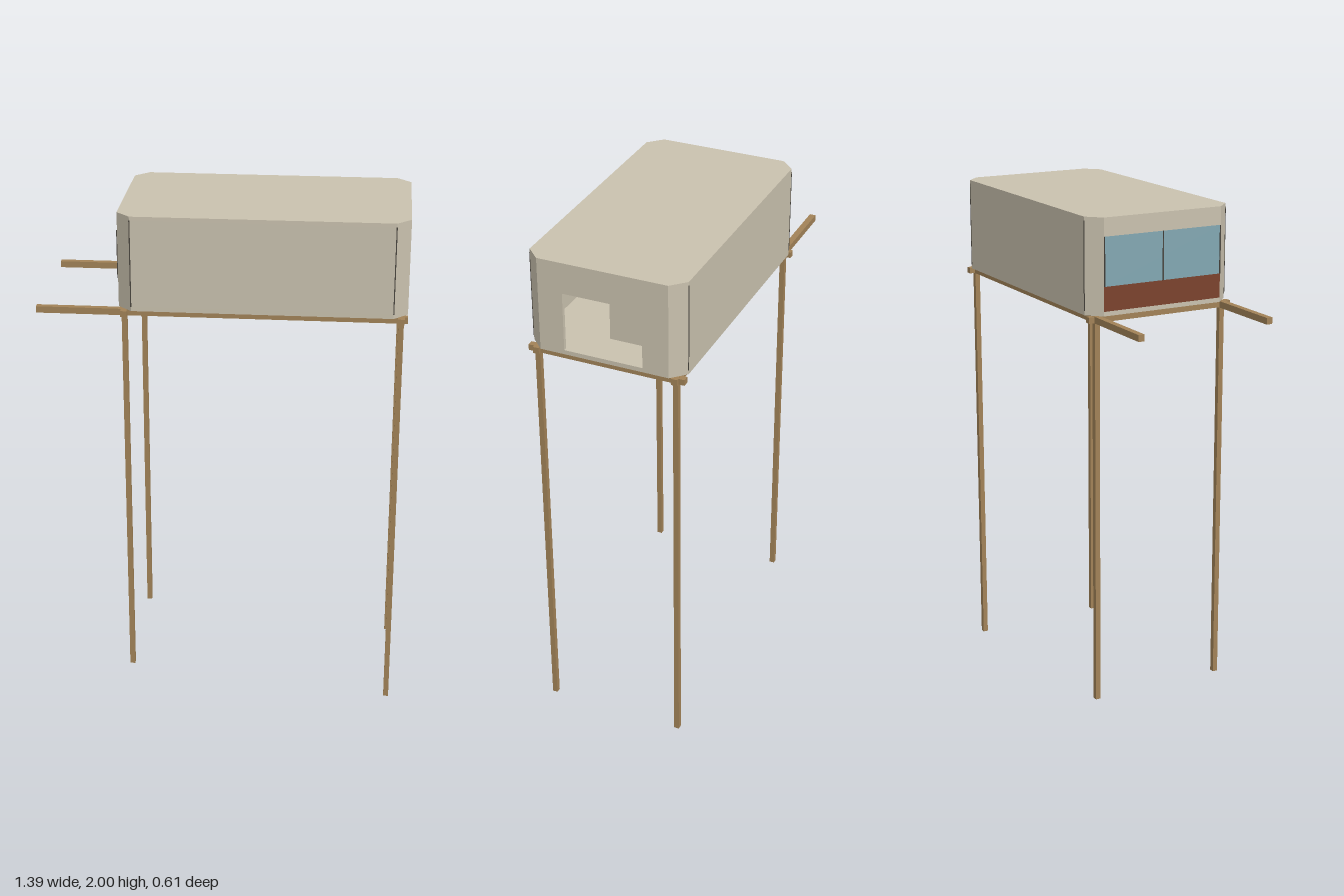
import * as THREE from 'three';

const mat = (name, color) => {
  const m = new THREE.MeshStandardMaterial({ color });
  m.name = name;
  return m;
};

export function createModel() {
  const cream = mat('cream panel', 0xc9c1ae);
  const wood = mat('timber', 0xa18257);
  const glass = mat('blue glass', 0x82a7b2);
  const brown = mat('red brown', 0x7a422c);
  const dark = mat('dark trim', 0x4a463f);

  const model = new THREE.Group();
  const add = (name, geometry, material) => {
    const mesh = new THREE.Mesh(geometry, material);
    mesh.name = name;
    model.add(mesh);
    return mesh;
  };
  // Box given by its lower and upper limits on each axis
  const box = (name, material, x0, x1, y0, y1, z0, z1) => {
    const g = new THREE.BoxGeometry(x1 - x0, y1 - y0, z1 - z0);
    g.translate((x0 + x1) / 2, (y0 + y1) / 2, (z0 + z1) / 2);
    return add(name, g, material);
  };
  // Upright prism from a plan outline of [x, z] points
  const prism = (name, material, points, y0, y1) => {
    const shape = new THREE.Shape(points.map(([x, z]) => new THREE.Vector2(x, -z)));
    const g = new THREE.ExtrudeGeometry(shape, { depth: y1 - y0, bevelEnabled: false });
    g.rotateX(-Math.PI / 2).translate(0, y0, 0);
    return add(name, g, material);
  };

  // Cabin limits: outer box, corner cut, wall thickness
  const X0 = -0.39, X1 = 0.692, Z = 0.303, CUT = 0.053, T = 0.015;
  const FLOOR = 1.635, WALL0 = 1.652, WALL1 = 1.986, TOP = 2;
  const plan = [
    [X0 + CUT, Z], [X1 - CUT, Z], [X1, Z - CUT], [X1, -Z + CUT],
    [X1 - CUT, -Z], [X0 + CUT, -Z], [X0, -Z + CUT], [X0, Z - CUT],
  ];
  prism('floor', cream, plan, FLOOR, WALL0);
  prism('roof', cream, plan, WALL1, TOP);

  for (const s of [1, -1]) {
    // Long side walls and their narrow joints
    const a = s * Z, b = s * (Z - T);
    box('sideWall', cream, X0 + CUT, X1 - CUT, WALL0, WALL1, Math.min(a, b), Math.max(a, b));
    for (const x of [X0 + CUT, X1 - CUT]) {
      box('cornerJoint', dark, x - 0.002, x + 0.002, WALL0, WALL1, a - 0.001, a + 0.001);
    }
    // Cut corners
    for (const [x, d] of [[X0, 1], [X1, -1]]) {
      prism('cornerPanel', cream, [
        [x, s * (Z - CUT)], [x + d * CUT, s * Z],
        [x + d * CUT, s * (Z - T)], [x + d * T, s * (Z - CUT)],
      ], WALL0, WALL1);
    }
  }

  // End wall with the doorway opening
  const ZE = Z - CUT;
  const D0 = -0.15, D1 = 0.155, DT = 1.88;
  box('doorWallSide', cream, X1 - T, X1, WALL0, WALL1, -ZE, D0);
  box('doorWallSide', cream, X1 - T, X1, WALL0, WALL1, D1, ZE);
  box('doorWallHeader', cream, X1 - T, X1, DT, WALL1, D0, D1);

  // Glazed end wall
  const SILL = 1.745, HEAD = 1.93;
  box('lowerEndPanel', brown, X0, X0 + T, WALL0, SILL, -ZE, ZE);
  box('endWindow', glass, X0, X0 + 0.009, SILL, HEAD, -ZE, ZE);
  box('endWallHeader', cream, X0, X0 + T, HEAD, WALL1, -ZE, ZE);
  for (const z of [-ZE + 0.002, 0, ZE - 0.002]) {
    box('windowPost', dark, X0 - 0.003, X0 + 0.009, SILL, HEAD, z - 0.002, z + 0.002);
  }

  // Inside: screen behind the doorway, cabinet and desk at the window end
  box('entryScreen', cream, 0.54, 0.555, WALL0, 1.865, -0.27, 0.04);
  box('tallCabinet', brown, -0.3, -0.1, WALL0, 1.9, -Z + T, -0.11);
  box('console', dark, -0.33, -0.29, SILL, 1.81, 0.015, 0.048);
  box('seatBase', dark, -0.15, -0.1, WALL0, 1.685, 0.115, 0.17);
  box('seatBack', glass, -0.15, -0.135, 1.685, 1.715, 0.12, 0.165);

  // Timber frame below the cabin
  const B0 = 1.61, W = 0.012;
  for (const z of [-0.27, 0.27]) {
    box('longBeam', wood, -0.7, X1, B0, FLOOR, z - W, z + W);
  }
  for (const [x, bottom] of [[-0.366, 0.1], [0.668, 0]]) {
    box('crossBeam', wood, x - W, x + W, B0 + 0.001, FLOOR - 0.001, -0.305, 0.305);
    for (const z of [-0.27, 0.27]) {
      box('leg', wood, x - 0.01, x + 0.01, bottom, B0 + 0.002, z - 0.01, z + 0.01);
    }
  }
  return model;
}
